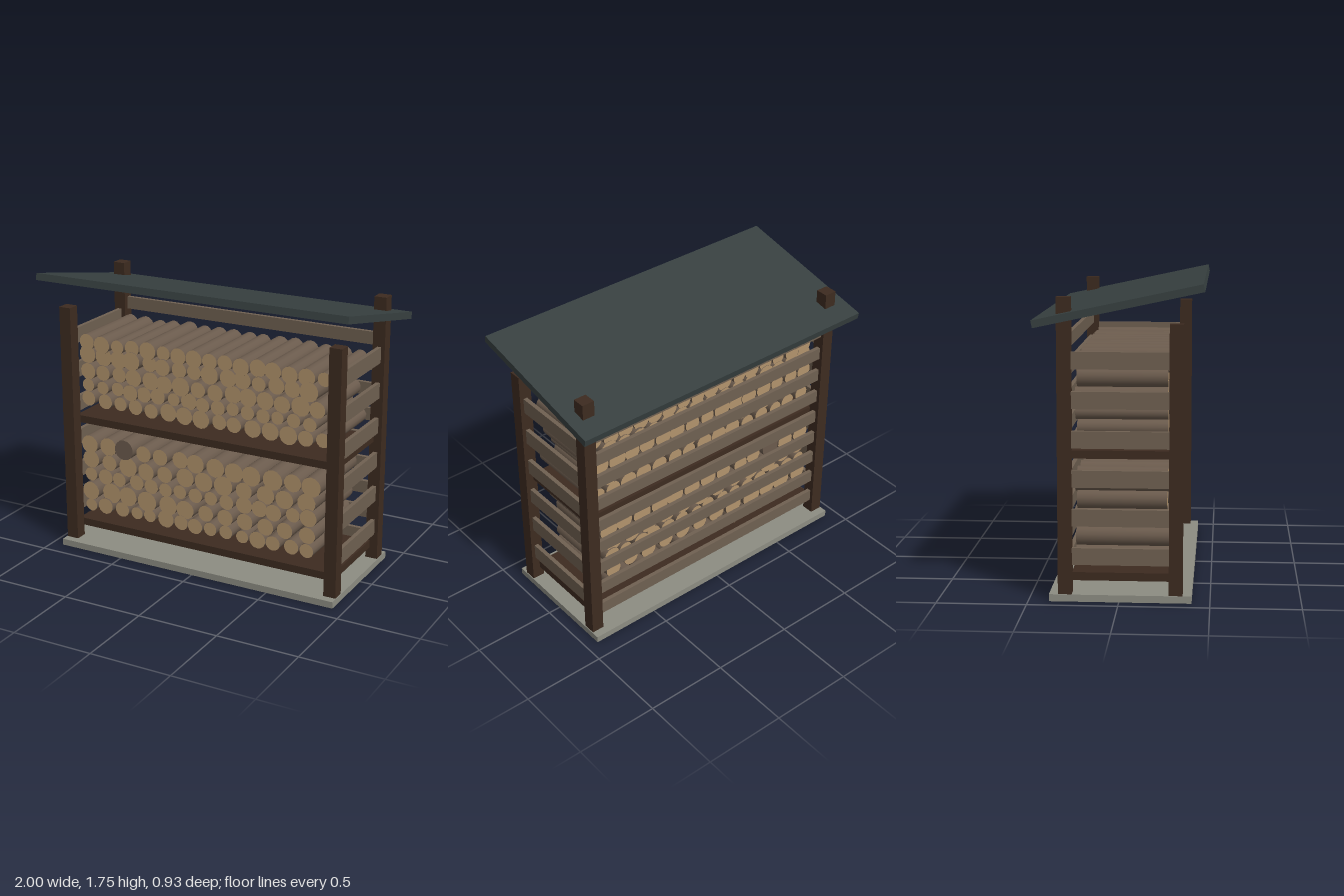
import * as THREE from 'three';

export function createModel() {
  const model = new THREE.Group();
  model.name = 'firewoodShelter';

  const paint = (name, color) => {
    const m = new THREE.MeshStandardMaterial({ color });
    m.name = name;
    return m;
  };
  const stone = paint('paleStone', 0x8c8c82);
  const darkWood = paint('darkWood', 0x3d2b20);
  const slatWood = paint('weatheredWood', 0x6f6051);
  const bark = paint('bark', 0x6b5b4d);
  const cutWood = paint('cutWood', 0xb2936c);
  const roofing = paint('slateRoofing', 0x374040);

  const box = (name, material, w, h, d, x, y, z, parent = model) => {
    const mesh = new THREE.Mesh(new THREE.BoxGeometry(w, h, d), material);
    mesh.name = name;
    mesh.position.set(x, y, z);
    parent.add(mesh);
    return mesh;
  };
  const group = (name) => {
    const g = new THREE.Group();
    g.name = name;
    model.add(g);
    return g;
  };

  // Ground slab and the two decks
  box('baseSlab', stone, 1.85, 0.04, 0.785, 0, 0.02, 0.007);
  box('lowerDeck', darkWood, 1.74, 0.046, 0.54, 0, 0.13, 0.007);
  box('upperDeck', darkWood, 1.74, 0.046, 0.54, 0, 0.813, 0.007);

  // Posts: the back pair runs up through the roof
  for (const [label, side] of [['left', 1], ['right', -1]]) {
    box(label + 'FrontPost', darkWood, 0.076, 1.49, 0.076, side * 0.882, 0.785, 0.312);
    box(label + 'BackPost', darkWood, 0.076, 1.635, 0.076, side * 0.882, 0.8575, -0.298);
  }

  // Horizontal slats across the back
  const backSlats = group('backSlats');
  for (let i = 0; i < 9; i++) {
    box('backSlat', slatWood, 1.74, 0.077, 0.025, 0, 0.167 + i * 0.156, -0.303, backSlats);
  }

  // Wider, more open slats on both ends
  const sideSlats = group('sideSlats');
  for (const side of [1, -1]) {
    for (let i = 0; i < 6; i++) {
      box('sideSlat', slatWood, 0.025, 0.095, 0.55, side * 0.885, 0.248 + i * 0.2165, 0.007, sideSlats);
    }
  }

  // Sloping roof, higher at the front
  const roof = box('roof', roofing, 2, 0.042, 0.937, 0, 1.632, 0);
  roof.rotation.x = -0.21;

  // Stacked logs: each row has [height, last x, count, mean radius]
  let seed = 17;
  const vary = (amount) => {
    seed = (seed * 16807) % 2147483647;
    return ((seed / 2147483647) * 2 - 1) * amount;
  };
  const logShape = new THREE.CylinderGeometry(1, 1, 1, 14).rotateX(Math.PI / 2);
  const addLog = (parent, x, y, r, endMaterial) => {
    const log = new THREE.Mesh(logShape, [bark, endMaterial, endMaterial]);
    log.name = 'log';
    log.scale.set(r, r, 0.505 + vary(0.012));
    log.position.set(x, y, 0.01 + vary(0.006));
    parent.add(log);
  };
  const stack = (name, rows, darkRow, darkIndex) => {
    const pile = group(name);
    rows.forEach(([y, lastX, count, radius], row) => {
      for (let i = 0; i < count; i++) {
        const inner = i > 0 && i < count - 1;
        const x = -0.786 + ((lastX + 0.786) * i) / (count - 1) + (inner ? vary(0.008) : 0);
        const dark = row === darkRow && i === darkIndex;
        const r = dark ? 0.064 : radius + vary(0.008);
        addLog(pile, x, y + vary(0.005), r, dark ? bark : cutWood);
      }
    });
  };
  stack('lowerLogStack', [
    [0.255, 0.692, 15, 0.048],
    [0.352, 0.69, 12, 0.058],
    [0.455, 0.698, 15, 0.05],
    [0.55, 0.68, 12, 0.058],
    [0.655, 0.712, 13, 0.056],
  ], 4, 2);
  stack('upperLogStack', [
    [0.947, 0.78, 15, 0.05],
    [1.036, 0.697, 16, 0.045],
    [1.125, 0.74, 15, 0.054],
    [1.228, 0.69, 15, 0.051],
    [1.308, 0.78, 16, 0.049],
  ], -1, -1);

  return model;
}
